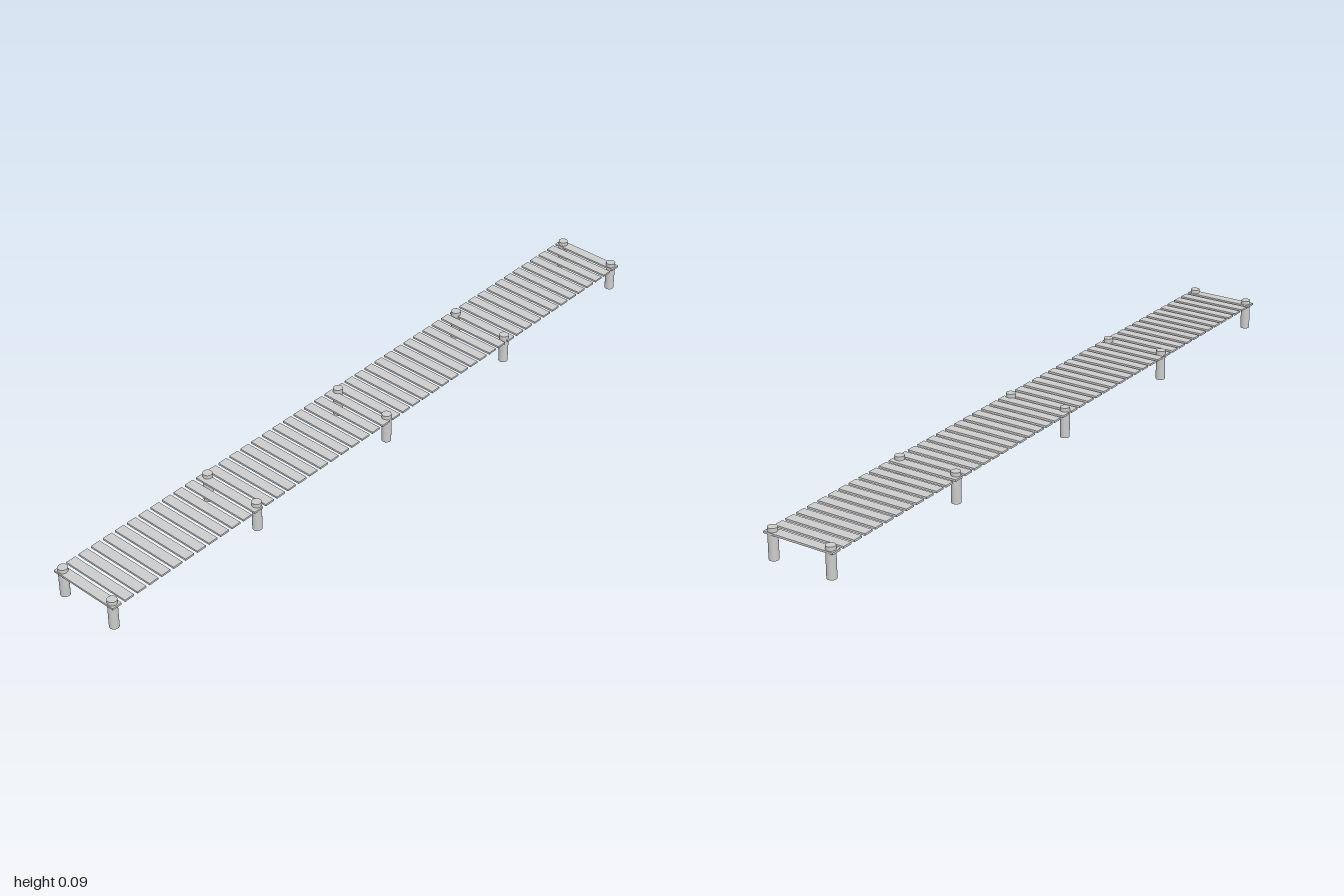
import * as THREE from 'three';

export function createModel() {
  const model = new THREE.Group();
  model.name = 'footbridge';
  const material = new THREE.MeshStandardMaterial({ color: 0xcccccc });

  // Deck: evenly spaced crosswise planks with narrow gaps
  const deck = new THREE.Group();
  deck.name = 'deck';
  const plankCount = 50, plankDepth = 0.029;
  const endZ = 1 - plankDepth / 2;
  const plankGeometry = new THREE.BoxGeometry(0.208, 0.0055, plankDepth);
  for (let i = 0; i < plankCount; i++) {
    const plank = new THREE.Mesh(plankGeometry, material);
    plank.name = 'plank';
    plank.position.set(0, 0.0722, -endZ + (2 * endZ * i) / (plankCount - 1));
    deck.add(plank);
  }
  model.add(deck);

  // Posts: five mirrored pairs, rising slightly above the deck
  const posts = new THREE.Group();
  posts.name = 'posts';
  const postHeight = 0.0857;
  const postGeometry = new THREE.CylinderGeometry(0.013, 0.013, postHeight, 32);
  for (let i = -2; i <= 2; i++) {
    for (const side of [-1, 1]) {
      const post = new THREE.Mesh(postGeometry, material);
      post.name = side > 0 ? 'leftPost' : 'rightPost';
      post.position.set(side * 0.087, postHeight / 2, (i / 2) * endZ);
      posts.add(post);
    }
  }
  model.add(posts);

  return model;
}
